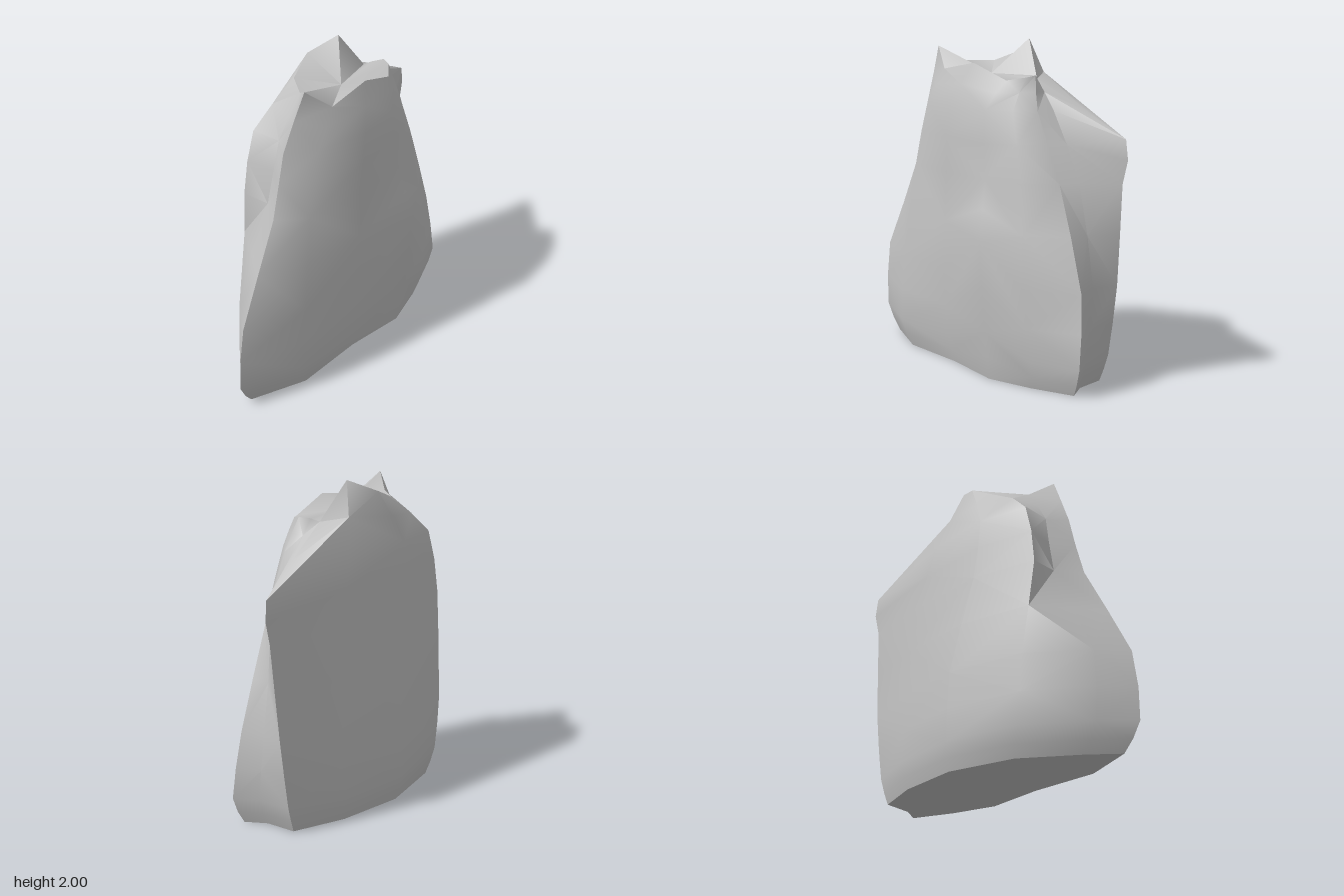
import * as THREE from 'three';
import { toCreasedNormals } from 'three/addons/utils/BufferGeometryUtils.js';

// Key cross-sections as [x, z, own height if it differs], from the left tip round the front, right side and back
const SECTIONS = [
  { y: .17, p: [[-.97, .07], [-.6, .25], [-.1, .28], [.33, .36, .3], [.65, .29], [.94, .19], [.86, .05], [.84, -.16], [.5, -.31], [.05, -.395], [-.42, -.31], [-.78, -.08]] },
  { y: .6, p: [[-.93, .08], [-.56, .25], [-.1, .31], [.33, .4, .85], [.6, .31], [.9, .14], [.86, 0], [.9, -.16], [.5, -.29], [.05, -.38], [-.45, -.31], [-.78, -.08]] },
  { y: 1.2, p: [[-.62, .07], [-.47, .22], [-.08, .3], [.28, .31], [.53, .26], [.7, .12], [.75, .01], [.945, -.14], [.45, -.25], [-.08, -.32], [-.5, -.25], [-.5, -.07]] },
  { y: 1.6, p: [[-.515, .07], [-.36, .21], [-.05, .3], [.25, .28], [.42, .22], [.52, .12], [.55, .02], [.965, -.14, 1.46], [.34, -.22], [-.1, -.285], [-.42, -.23], [-.42, -.04]] },
];

// Jagged rim with two peaks, as [x, y, z]
const RIM = [
  [-.37, 1.94, .11], [-.22, 1.81, .19], [.07, 1.86, .21], [.33, 1.77, .19],
  [.43, 1.79, .12], [.45, 1.8, .07], [.4, 1.79, .02], [.37, 1.77, -.02],
  [.22, 2, -.1], [.05, 1.92, -.2], [-.14, 1.85, -.15], [-.26, 1.85, -.01],
];

const STEPS = 10;

function rockGeometry() {
  const n = RIM.length;

  // One rising curve per column, starting from a base inset below the lowest section
  const columns = RIM.map((rim, c) => {
    const [x, z] = SECTIONS[0].p[c];
    return new THREE.CatmullRomCurve3([
      new THREE.Vector3(x * .91 + .02, 0, z * .89 - .005),
      ...SECTIONS.map(({ y, p }) => new THREE.Vector3(p[c][0], p[c][2] ?? y, p[c][1])),
      new THREE.Vector3(...rim),
    ], false, 'catmullrom', .3).getPoints(STEPS);
  });
  const points = [];
  for (let r = 0; r <= STEPS; r++) columns.forEach((column) => points.push(column[r]));
  const topCentre = points.push(new THREE.Vector3(.05, 1.79, .05)) - 1;
  const bottomCentre = points.push(new THREE.Vector3(.1, 0, 0)) - 1;

  // Faceted sides, with the diagonals alternating
  const at = (r, c) => r * n + (c % n);
  const index = [];
  for (let r = 0; r < STEPS; r++) {
    for (let c = 0; c < n; c++) {
      const a = at(r, c), b = at(r, c + 1), d = at(r + 1, c), e = at(r + 1, c + 1);
      if ((r + c) % 2) index.push(a, b, e, a, e, d);
      else index.push(a, b, d, b, e, d);
    }
  }

  // Sunken top and flat underside
  for (let c = 0; c < n; c++) {
    index.push(at(STEPS, c), at(STEPS, c + 1), topCentre);
    index.push(at(0, c + 1), at(0, c), bottomCentre);
  }

  const geometry = new THREE.BufferGeometry().setFromPoints(points);
  geometry.setIndex(index);
  return toCreasedNormals(geometry, 0.75);
}

export function createModel() {
  const group = new THREE.Group();
  group.name = 'rock';
  const stone = new THREE.MeshStandardMaterial({ color: 0xc2c2c2 });
  stone.name = 'stone grey';
  const boulder = new THREE.Mesh(rockGeometry(), stone);
  boulder.name = 'boulder';
  group.add(boulder);
  return group;
}
